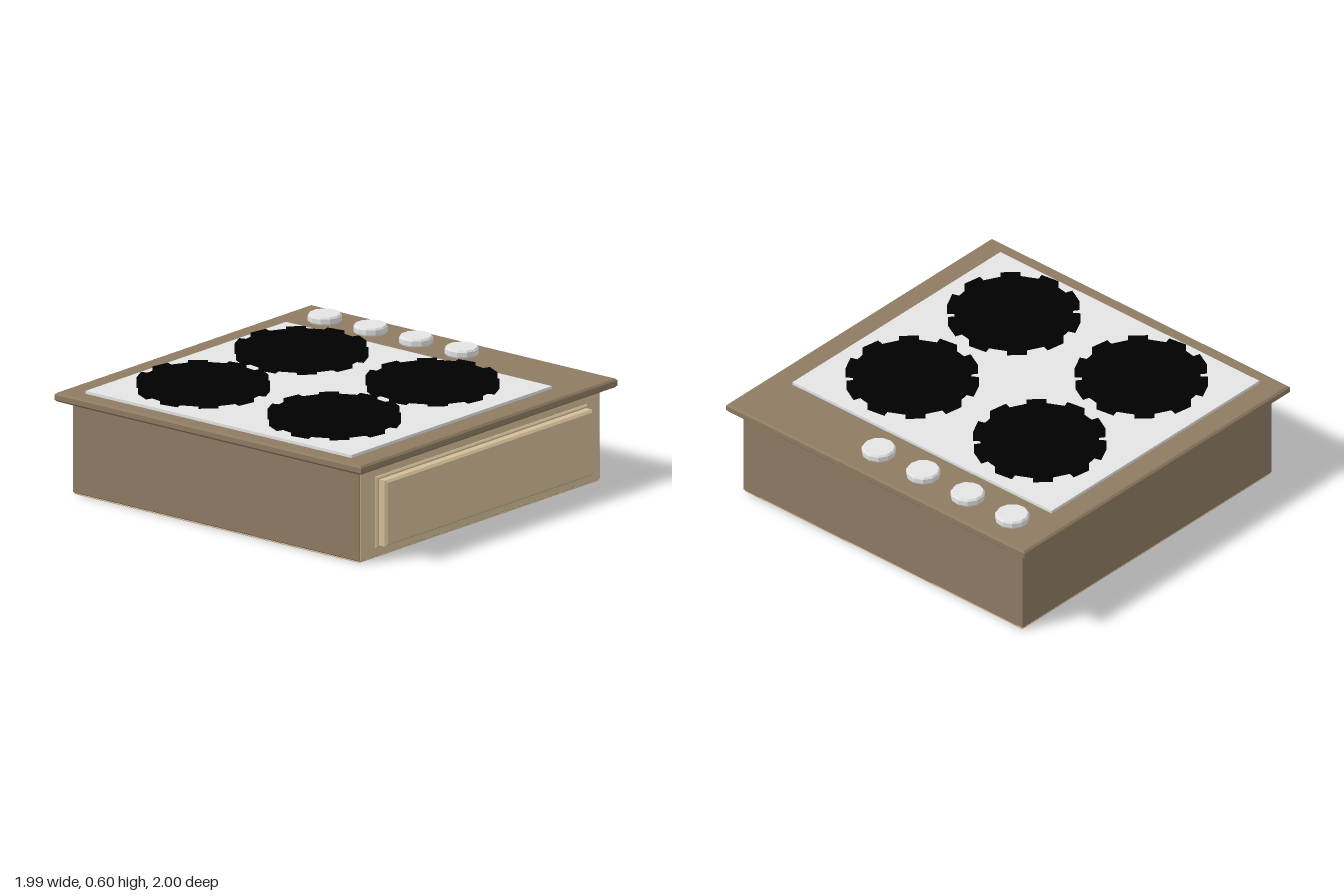
import * as THREE from 'three';

const mat = (name, color) => {
  const m = new THREE.MeshStandardMaterial({ color });
  m.name = name;
  return m;
};

// Chamfered slab of width w and height h in XY, depth d along z, starting at z = 0
function slab(w, h, d, bevel) {
  const x = w / 2 - bevel, y = h / 2 - bevel;
  const shape = new THREE.Shape([
    new THREE.Vector2(-x, -y), new THREE.Vector2(x, -y),
    new THREE.Vector2(x, y), new THREE.Vector2(-x, y),
  ]);
  const geo = new THREE.ExtrudeGeometry(shape, {
    depth: d - 2 * bevel, bevelEnabled: true, bevelSize: bevel,
    bevelThickness: bevel, bevelSegments: 1,
  });
  return geo.translate(0, 0, bevel);
}

// The same slab lying flat, its underside at y = 0
const flatSlab = (w, d, h, bevel) => slab(w, d, h, bevel).rotateX(-Math.PI / 2);

// Round burner with ten square teeth
function burnerGeometry() {
  const inner = 0.298, outer = 0.335, step = Math.PI / 5, tooth = 0.3;
  const pts = [];
  const add = (r, a) => pts.push(new THREE.Vector2(r * Math.cos(a), r * Math.sin(a)));
  for (let i = 0; i < 10; i++) {
    const a = i * step;
    add(inner, a);
    add(outer, a);
    add(outer, a + tooth);
    add(inner, a + tooth);
  }
  return new THREE.ExtrudeGeometry(new THREE.Shape(pts), { depth: 0.054, bevelEnabled: false })
    .rotateX(-Math.PI / 2);
}

export function createModel() {
  const darkWood = mat('dark wood', 0x8e7b62);
  const lightWood = mat('light wood', 0xd3be98);
  const metal = mat('pale metal', 0xe4e4e4);
  const iron = mat('black iron', 0x000000);
  metal.flatShading = true;

  const model = new THREE.Group();
  model.name = 'cooktop';
  const add = (name, geo, material, x, y, z) => {
    const mesh = new THREE.Mesh(geo, material);
    mesh.name = name;
    mesh.position.set(x, y, z);
    model.add(mesh);
  };

  // Cabinet with a paler front face and base
  add('cabinet', flatSlab(1.866, 1.862, 0.476, 0.008), darkWood, 0, 0.004, 0);
  add('frontPanel', slab(1.856, 0.46, 0.008, 0.003), lightWood, 0, 0.24, 0.926);
  add('basePanel', flatSlab(1.858, 1.854, 0.008, 0.002), lightWood, 0, 0, 0);

  // Drawer front, stepped
  add('drawerFrame', slab(1.64, 0.372, 0.02, 0.008), lightWood, 0, 0.241, 0.93);
  add('drawerFace', slab(1.61, 0.344, 0.06, 0.012), lightWood, 0, 0.24, 0.94);

  // Flared moulding under the worktop, then the worktop
  const moulding = new THREE.CylinderGeometry(0.955 * Math.SQRT2, 0.933 * Math.SQRT2, 0.025, 4, 1, true)
    .rotateY(Math.PI / 4).toNonIndexed();
  moulding.computeVertexNormals();
  add('moulding', moulding, darkWood, 0, 0.474, 0);
  add('worktop', flatSlab(1.994, 1.994, 0.046, 0.01), darkWood, 0, 0.484, -0.003);

  // Hob plate and four burners
  add('hobPlate', new THREE.BoxGeometry(1.558, 0.016, 1.73), metal, -0.132, 0.537, -0.005);
  const burner = burnerGeometry();
  for (const x of [-0.515, 0.247])
    for (const z of [-0.435, 0.417]) add('burner', burner, iron, x, 0.545, z);

  // Control knobs
  const profile = [[0.083, 0], [0.087, 0.008], [0.087, 0.032], [0.079, 0.042], [0, 0.042]]
    .map(([r, y]) => new THREE.Vector2(r, y));
  const knob = new THREE.LatheGeometry(profile, 11);
  for (let i = 0; i < 4; i++) add('knob', knob, metal, 0.82, 0.53, -0.762 + i * 0.297);

  return model;
}
